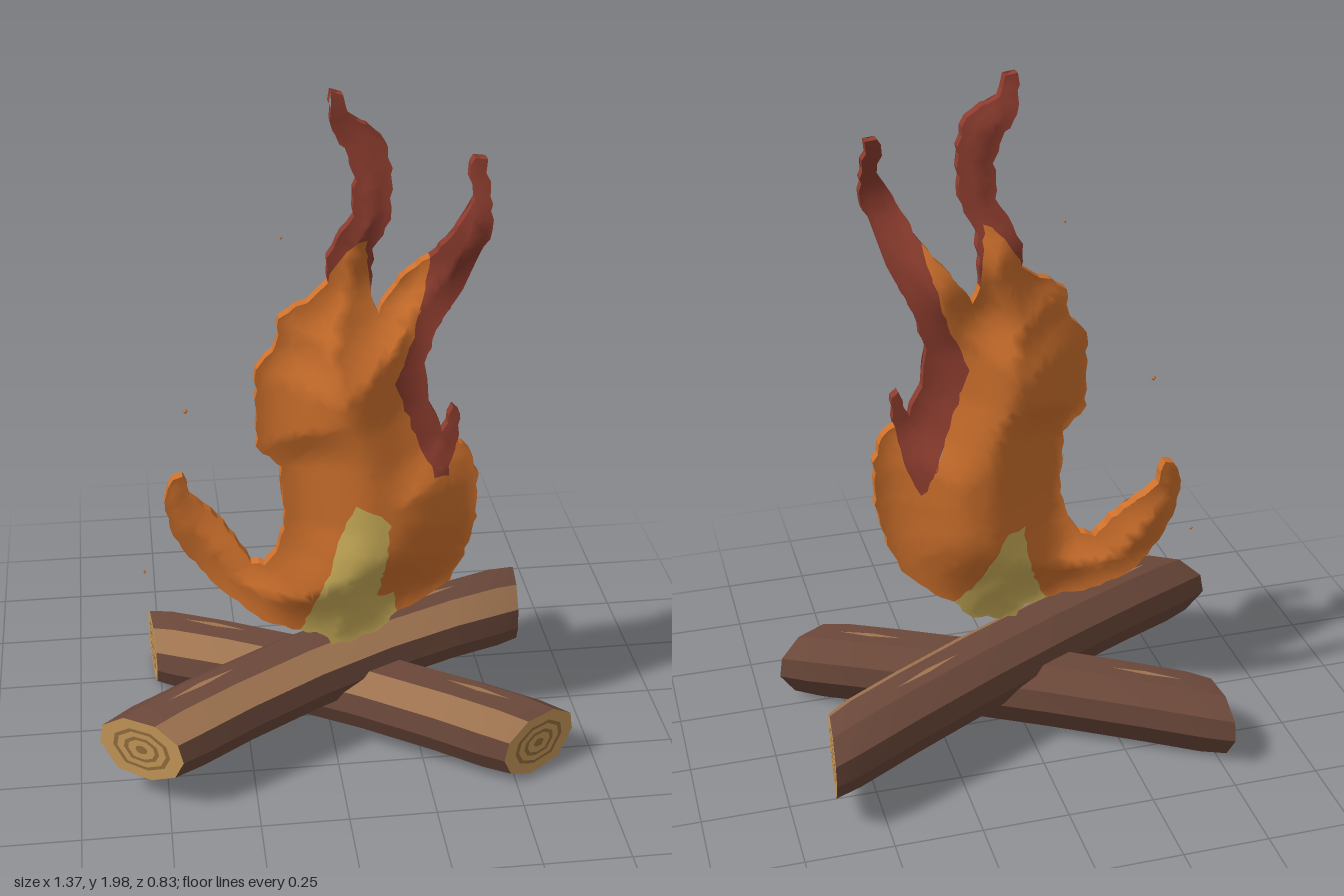
import * as THREE from 'three';
import { toCreasedNormals } from 'three/addons/utils/BufferGeometryUtils.js';

const mat = (name, color) => {
  const m = new THREE.MeshStandardMaterial({ color });
  m.name = name;
  return m;
};
const bark = mat('bark', 0x6b483a);
const bareWood = mat('bare wood', 0x9f7450);
const cutWood = mat('cut wood', 0xc8995a);
const growthRing = mat('growth ring', 0x94703f);
const orange = mat('flame orange', 0xce702c);
const red = mat('flame red', 0x8c3c2e);
const yellow = mat('flame yellow', 0xcdb05a);

const quad = (list, a, b, c, d, flip) => {
  for (const p of flip ? [a, c, b, a, d, c] : [a, b, c, a, c, d]) list.push(...p);
};
const geometryOf = (corners) => {
  const g = new THREE.BufferGeometry();
  g.setAttribute('position', new THREE.Float32BufferAttribute(corners, 3));
  g.computeVertexNormals();
  return g;
};
const named = (name, geometry, material) => {
  const m = new THREE.Mesh(geometry, material);
  m.name = name;
  return m;
};

// ---- Logs: arched faceted beams with slanted cuts ----
const SECTION = [[1, -0.05], [0.88, 0.52], [0.35, 0.97], [-0.4, 0.97], [-0.92, 0.5], [-1, -0.1], [-0.6, -0.9], [0.2, -1], [0.78, -0.65]];
const STRIP = 1; // the upper front facet, where the bark is gone
const STATIONS = [0, 0.07, 0.2, 0.4, 0.6, 0.8, 0.94, 1];

function buildLog(name, mirror, y0, arch, backEnd, backHalf, splinters) {
  const frontEnd = [-0.572, 0.345], frontHalf = [0.124, 0.075];
  const mix = THREE.MathUtils.lerp;
  const at = (t, u, v) => {
    const bow = 1 - (2 * t - 1) ** 2;
    const taper = 0.93 + 0.07 * THREE.MathUtils.smoothstep(Math.min(t, 1 - t), 0, 0.06);
    const w = u * taper;
    return [
      mirror * (mix(frontEnd[0], backEnd[0], t) + w * mix(frontHalf[0], backHalf[0], t)),
      y0 + arch * bow + v * 0.105 * taper,
      mix(frontEnd[1], backEnd[1], t) + w * mix(frontHalf[1], backHalf[1], t) - 0.015 * bow,
    ];
  };
  const flip = mirror < 0;
  const log = new THREE.Group();
  log.name = name;
  const eachSide = (fn) => SECTION.forEach((p, k) => fn(p, SECTION[(k + 1) % SECTION.length], k));

  // Sides
  const sides = [], strip = [];
  for (let i = 0; i < STATIONS.length - 1; i++) {
    const t0 = STATIONS[i], t1 = STATIONS[i + 1];
    eachSide((p, q, k) => quad(k === STRIP ? strip : sides,
      at(t0, ...p), at(t1, ...p), at(t1, ...q), at(t0, ...q), flip));
  }
  log.add(named('barkSides', toCreasedNormals(geometryOf(sides), 0.3), bark));
  log.add(named('bareStrip', toCreasedNormals(geometryOf(strip), 0.3), bareWood));

  // Cut ends with growth rings
  const radii = [1, 0.68, 0.58, 0.42, 0.32, 0.14, 0];
  const wood = [], rings = [];
  for (const t of [0, 1]) {
    for (let r = 0; r < 6; r++) {
      const s = radii[r], w = radii[r + 1];
      eachSide((p, q) => quad(r % 2 ? rings : wood, at(t, p[0] * s, p[1] * s), at(t, q[0] * s, q[1] * s),
        at(t, q[0] * w, q[1] * w), at(t, p[0] * w, p[1] * w), flip !== (t === 1)));
    }
  }
  log.add(named('cutEnds', geometryOf(wood), cutWood), named('growthRings', geometryOf(rings), growthRing));

  // Thin splinters on the top face
  const chips = [];
  for (const [a, b] of splinters) {
    const m = (a + b) / 2, v = 1.02;
    quad(chips, at(a, -0.1, v), at(m, -0.03, v), at(b, -0.1, v), at(m, -0.17, v), flip);
  }
  log.add(named('splinters', geometryOf(chips), bareWood));
  return log;
}

// ---- Flame: outline pieces, running clockwise from the lower left ----
const LEFT = [[-0.09, 0.385], [-0.2, 0.41], [-0.31, 0.48], [-0.39, 0.57], [-0.45, 0.67], [-0.47, 0.78], [-0.445, 0.85],
  [-0.41, 0.85], [-0.395, 0.785], [-0.34, 0.735], [-0.27, 0.665], [-0.23, 0.595], [-0.19, 0.605], [-0.15, 0.68],
  [-0.135, 0.76], [-0.145, 0.93], [-0.21, 1.0], [-0.21, 1.23], [-0.15, 1.3], [-0.145, 1.38], [-0.07, 1.42], [-0.01, 1.46]];
const TALL_TONGUE = [[-0.01, 1.46], [-0.01, 1.53], [0.055, 1.66], [0.06, 1.76], [0.035, 1.84], [0.0, 1.89], [-0.008, 1.995],
  [0.025, 1.985], [0.045, 1.93], [0.09, 1.91], [0.13, 1.88], [0.15, 1.8], [0.15, 1.66], [0.11, 1.56], [0.11, 1.42]];
const NOTCH = [[0.11, 1.42], [0.125, 1.37], [0.19, 1.46], [0.26, 1.54]];
const SIDE_TONGUE = [[0.26, 1.54], [0.305, 1.63], [0.36, 1.73], [0.345, 1.8], [0.36, 1.83], [0.39, 1.82], [0.4, 1.74], [0.405, 1.65],
  [0.365, 1.55], [0.33, 1.44], [0.28, 1.33], [0.25, 1.23], [0.265, 1.12], [0.305, 1.03], [0.33, 1.1], [0.35, 1.09], [0.345, 1.0]];
const RIGHT = [[0.345, 1.0], [0.38, 0.97], [0.405, 0.89], [0.405, 0.75], [0.375, 0.62], [0.34, 0.54], [0.27, 0.47], [0.19, 0.42]];
const BASE = [[0.19, 0.42], [0.15, 0.365], [0.09, 0.35], [0.05, 0.335], [0, 0.335], [-0.03, 0.37], [-0.09, 0.385]];
// Borders between colours; two of them differ on the back
const TALL_SEAM = [[-0.01, 1.46], [0.01, 1.51], [0.06, 1.57], [0.09, 1.59], [0.1, 1.5], [0.11, 1.42]];
const SIDE_SEAM = [[0.26, 1.54], [0.245, 1.42], [0.22, 1.31], [0.17, 1.18], [0.235, 1.0], [0.28, 0.91], [0.315, 0.905], [0.345, 1.0]];
const SIDE_SEAM_BACK = [[0.26, 1.54], [0.23, 1.42], [0.2, 1.31], [0.14, 1.18], [0.2, 1.0], [0.25, 0.86], [0.28, 0.79], [0.31, 0.84], [0.345, 1.0]];
const CORE_SEAM = [[0.19, 0.42], [0.18, 0.5], [0.13, 0.49], [0.145, 0.68], [0.15, 0.78], [0.125, 0.81], [0.055, 0.835],
  [0.025, 0.76], [-0.015, 0.61], [-0.055, 0.5], [-0.09, 0.385]];
const CORE_SEAM_BACK = [[0.19, 0.42], [0.13, 0.49], [0.09, 0.6], [0.05, 0.67], [-0.01, 0.67], [-0.02, 0.57], [-0.05, 0.48], [-0.09, 0.385]];
const joined = (...parts) => parts.flatMap((p) => p.slice(0, -1));
const reversed = (line) => [...line].reverse();
const OUTLINE = joined(LEFT, TALL_TONGUE, NOTCH, SIDE_TONGUE, RIGHT, BASE);

function distanceToOutline(x, y) {
  let best = Infinity;
  OUTLINE.forEach(([ax, ay], i) => {
    const [bx, by] = OUTLINE[(i + 1) % OUTLINE.length];
    const dx = bx - ax, dy = by - ay;
    const t = THREE.MathUtils.clamp(((x - ax) * dx + (y - ay) * dy) / (dx * dx + dy * dy), 0, 1);
    best = Math.min(best, Math.hypot(x - ax - t * dx, y - ay - t * dy));
  });
  return best;
}

// Curving middle sheet plus a swelling that fades toward the outline
function flameDepth(x, y, sign) {
  const step = THREE.MathUtils.smoothstep;
  const bell = (c, w) => Math.exp(-(((y - c) / w) ** 2));
  const tall = 1 - step(x, 0.16, 0.25);
  const middle = 0.07
    - 0.108 * step(-x, 0.12, 0.4) * (1 - step(y, 0.85, 1))
    + 0.045 * step(x, 0.15, 0.38) * step(y, 0.4, 0.8)
    + 0.05 * step(x, 0.2, 0.32) * bell(1.65, 0.13)
    + tall * (0.4 * (x - 0.07) * step(y, 1.4, 1.6) + 0.025 * step(y, 1.85, 2))
    - 0.045 * bell(1.46, 0.13) * step(x, -0.1, 0.05) * (1 - step(x, 0.18, 0.32))
    + 0.008 * Math.sin(x * 16 + y * 5);
  // the front flattens toward the base
  const swell = sign > 0 ? 0.06 + 0.045 * step(y, 0.42, 0.68) : 0.095;
  return middle + sign * (0.017 + swell * step(distanceToOutline(x, y), 0, 0.25));
}
// Slightly ragged in x and y
const flamePoint = ([x, y], sign) => [
  x + 0.004 * Math.sin(x * 90 + y * 130), y + 0.004 * Math.sin(x * 120 - y * 80), flameDepth(x, y, sign)];
function flameNormal([x, y], sign) {
  const e = 0.012;
  return new THREE.Vector3(
    flameDepth(x - e, y, sign) - flameDepth(x + e, y, sign),
    flameDepth(x, y - e, sign) - flameDepth(x, y + e, sign), 2 * e).normalize().multiplyScalar(sign).toArray();
}
const divide = (p, q) => {
  const n = Math.ceil(Math.hypot(q[0] - p[0], q[1] - p[1]) / 0.03);
  return Array.from({ length: n }, (_, k) => [p[0] + (q[0] - p[0]) * k / n, p[1] + (q[1] - p[1]) * k / n]);
};

// One side of a region: halve the longest edge until all triangles are small
function flameSheet(name, material, region, sign) {
  const edge = region.flatMap((p, i) => divide(p, region[(i + 1) % region.length]));
  const corners = [], normals = [];
  const addTriangle = (a, b, c) => {
    const ab = Math.hypot(a[0] - b[0], a[1] - b[1]);
    const bc = Math.hypot(b[0] - c[0], b[1] - c[1]);
    const ca = Math.hypot(c[0] - a[0], c[1] - a[1]);
    const longest = Math.max(ab, bc, ca);
    if (longest > 0.045) {
      if (longest === bc) [a, b, c] = [b, c, a];
      else if (longest === ca) [a, b, c] = [c, a, b];
      const m = [(a[0] + b[0]) / 2, (a[1] + b[1]) / 2];
      addTriangle(a, m, c);
      addTriangle(m, b, c);
      return;
    }
    const area = (b[0] - a[0]) * (c[1] - a[1]) - (b[1] - a[1]) * (c[0] - a[0]);
    for (const p of area * sign > 0 ? [a, b, c] : [a, c, b]) {
      corners.push(...flamePoint(p, sign));
      normals.push(...flameNormal(p, sign));
    }
  };
  const contour = edge.map(([x, y]) => new THREE.Vector2(x, y));
  for (const f of THREE.ShapeUtils.triangulateShape(contour, [])) addTriangle(...f.map((i) => edge[i]));
  const g = geometryOf(corners);
  g.setAttribute('normal', new THREE.Float32BufferAttribute(normals, 3));
  return named(name, g, material);
}

// Narrow wall joining front and back along clockwise outline pieces
function flameRim(name, material, ...pieces) {
  const corners = [];
  for (const piece of pieces) {
    const line = piece.slice(1).flatMap((q, i) => divide(piece[i], q)).concat([piece.at(-1)]);
    line.slice(1).forEach((q, i) => quad(corners,
      flamePoint(line[i], 1), flamePoint(q, 1), flamePoint(q, -1), flamePoint(line[i], -1)));
  }
  return named(name, geometryOf(corners), material);
}

export function createModel() {
  const model = new THREE.Group();
  model.name = 'campfire';
  model.add(
    buildLog('upperLog', 1, 0.19, 0.04, [0.625, -0.28], [-0.015, 0.15], [[0.08, 0.24], [0.66, 0.83]]),
    buildLog('lowerLog', -1, 0.113, 0.025, [0.52, -0.285], [-0.01, 0.142], [[0.08, 0.235], [0.74, 0.91]]),
  );

  const flame = new THREE.Group();
  flame.name = 'flame';
  for (const [face, sign, side, core] of [['Front', 1, SIDE_SEAM, CORE_SEAM], ['Back', -1, SIDE_SEAM_BACK, CORE_SEAM_BACK]]) {
    flame.add(
      flameSheet('flameBody' + face, orange, joined(LEFT, TALL_SEAM, NOTCH, side, RIGHT, core), sign),
      flameSheet('tallTongue' + face, red, joined(TALL_TONGUE, reversed(TALL_SEAM)), sign),
      flameSheet('sideTongue' + face, red, joined(SIDE_TONGUE, reversed(side)), sign),
      flameSheet('flameCore' + face, yellow, joined(BASE, reversed(core)), sign),
    );
  }
  flame.add(
    flameRim('bodyRim', orange, LEFT, NOTCH, RIGHT),
    flameRim('tongueRim', red, TALL_TONGUE, SIDE_TONGUE),
    flameRim('coreRim', yellow, BASE),
  );
  model.add(flame);

  // Drifting sparks
  for (const [x, y, r] of [[-0.13, 1.585, 0.005], [-0.4, 1.085, 0.008], [-0.535, 0.575, 0.006]]) {
    const spark = named('spark', new THREE.OctahedronGeometry(r), orange);
    spark.position.set(x, y, 0.02);
    model.add(spark);
  }
  return model;
}
